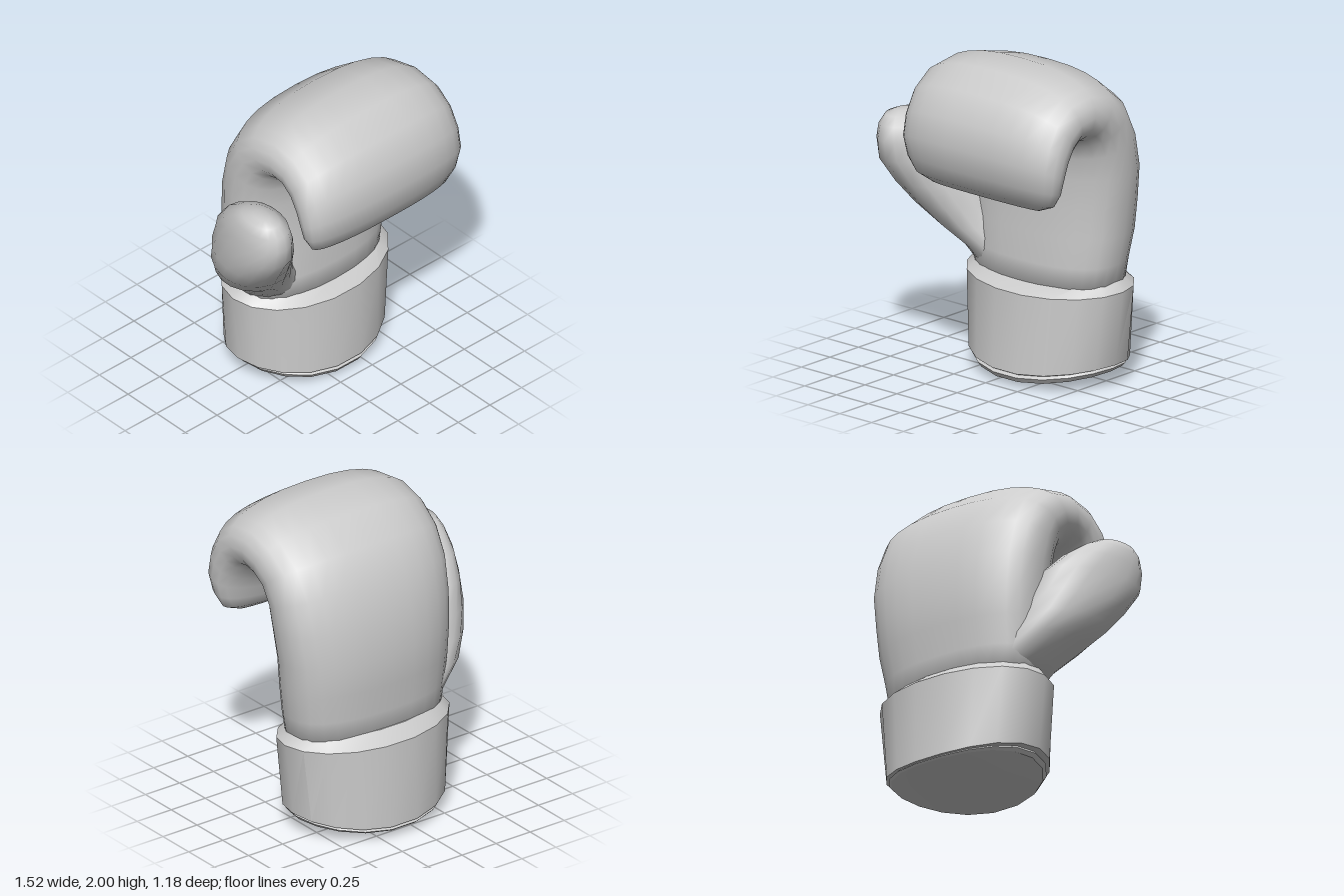
import * as THREE from 'three';
import { toCreasedNormals } from 'three/addons/utils/BufferGeometryUtils.js';

const material = new THREE.MeshStandardMaterial({ color: 0xcccccc });

// Superellipse unit point
function unitPoint(t, n) {
  const c = Math.cos(t), s = Math.sin(t);
  return [Math.sign(c) * Math.abs(c) ** (2 / n), Math.sign(s) * Math.abs(s) ** (2 / n)];
}

// One closed ring: fn(u, v) gives the point for each unit superellipse position
function makeRing(sides, n, fn) {
  return Array.from({ length: sides }, (_, j) => {
    const [u, v] = unitPoint((j / sides) * Math.PI * 2, n);
    return new THREE.Vector3(...fn(u, v));
  });
}

// Skin over rings (counter-clockwise about the travel direction), closed at both ends
function loft(rings) {
  const n = rings[0].length, last = rings.length - 1;
  const points = rings.flat(), index = [];
  for (let i = 0; i < last; i++) {
    for (let j = 0; j < n; j++) {
      const a = i * n + j, b = i * n + (j + 1) % n;
      index.push(a, b, b + n, a, b + n, a + n);
    }
  }
  for (const i of [0, last]) {
    const centre = new THREE.Vector3();
    rings[i].forEach(p => centre.addScaledVector(p, 1 / n));
    const c = points.push(centre) - 1;
    for (let j = 0; j < n; j++) {
      const a = i * n + j, b = i * n + (j + 1) % n;
      if (i === 0) index.push(c, b, a); else index.push(c, a, b);
    }
  }
  const geometry = new THREE.BufferGeometry().setFromPoints(points);
  geometry.setIndex(index);
  geometry.computeVertexNormals();
  return geometry;
}

function addMesh(group, name, geometry) {
  const mesh = new THREE.Mesh(geometry, material);
  mesh.name = name;
  group.add(mesh);
}

export function createModel() {
  const group = new THREE.Group();
  group.name = 'boxingGlove';

  // Padded hand curling over into the fist:
  // back edge z, y; palm edge z, y; centre x, half width
  const hand = [
    [-0.46, 0.55, 0.09, 0.55, 0.11, 0.50],
    [-0.47, 0.78, 0.09, 0.75, 0.115, 0.535],
    [-0.495, 0.96, 0.08, 0.93, 0.125, 0.555],
    [-0.50, 1.15, 0.075, 1.12, 0.13, 0.57],
    [-0.48, 1.37, 0.075, 1.30, 0.14, 0.59],
    [-0.42, 1.60, 0.09, 1.43, 0.14, 0.60],
    [-0.31, 1.80, 0.115, 1.50, 0.145, 0.605],
    [-0.13, 1.94, 0.145, 1.53, 0.15, 0.61],
    [0.10, 2.00, 0.165, 1.535, 0.15, 0.61],
    [0.32, 1.97, 0.185, 1.53, 0.15, 0.61],
    [0.48, 1.86, 0.21, 1.50, 0.15, 0.61],
    [0.565, 1.70, 0.245, 1.45, 0.15, 0.61],
    [0.595, 1.54, 0.275, 1.39, 0.15, 0.605],
    [0.565, 1.39, 0.295, 1.325, 0.15, 0.58],
    [0.51, 1.28, 0.33, 1.26, 0.15, 0.53],
    [0.44, 1.225, 0.38, 1.225, 0.15, 0.42],
  ];
  addMesh(group, 'hand', loft(hand.map(([bz, by, pz, py, cx, rx]) =>
    makeRing(28, 2.4, (u, v) => [
      cx + u * rx,
      (by + py) / 2 + v * (by - py) / 2,
      (bz + pz) / 2 + v * (bz - pz) / 2,
    ]))));

  // Thumb with its web: y, centre x, centre z, long radius, short radius, long-axis turn
  const thumb = [
    [0.62, -0.18, -0.18, 0.20, 0.20, 0.5],
    [0.72, -0.24, -0.16, 0.22, 0.21, 0.5],
    [0.85, -0.37, -0.10, 0.25, 0.23, 0.5],
    [0.98, -0.45, -0.03, 0.28, 0.23, 0.4],
    [1.12, -0.51, 0.04, 0.31, 0.22, 0.35],
    [1.28, -0.56, 0.12, 0.33, 0.19, 0.27],
    [1.40, -0.59, 0.18, 0.28, 0.165, 0.2],
    [1.49, -0.61, 0.23, 0.21, 0.135, 0.15],
    [1.54, -0.63, 0.25, 0.14, 0.09, 0.1],
    [1.56, -0.635, 0.26, 0.06, 0.04, 0.1],
  ];
  addMesh(group, 'thumb', loft(thumb.map(([y, cx, cz, a, b, turn]) => {
    const c = Math.cos(turn), s = Math.sin(turn);
    return makeRing(18, 2.1, (u, v) => [
      cx + u * b * c + v * a * s,
      y,
      cz + u * b * s - v * a * c,
    ]);
  })));

  // Cuff with bottom plug, lip and chamfer: y, rise at the sides, tilt to the back,
  // centre x, half width, centre z, half depth
  const cuff = [
    [0.0, 0.01, 0, 0.11, 0.20, -0.19, 0.15],
    [0.04, 0.05, 0.01, 0.11, 0.475, -0.195, 0.385],
    [0.06, 0.055, 0, 0.11, 0.495, -0.19, 0.40],
    [0.075, 0.055, 0, 0.11, 0.485, -0.19, 0.38],
    [0.08, 0.06, -0.005, 0.108, 0.52, -0.188, 0.40],
    [0.585, 0.015, 0.015, 0.115, 0.57, -0.19, 0.375],
    [0.645, 0.015, 0.025, 0.107, 0.515, -0.185, 0.29],
  ];
  const cuffGeometry = loft(cuff.map(([y, rise, tilt, cx, rx, cz, rz]) =>
    makeRing(18, 2.05, (u, v) => [cx + u * rx, y + rise * u * u + tilt * v, cz - v * rz])));
  addMesh(group, 'cuff', toCreasedNormals(cuffGeometry, 0.5));

  return group;
}
